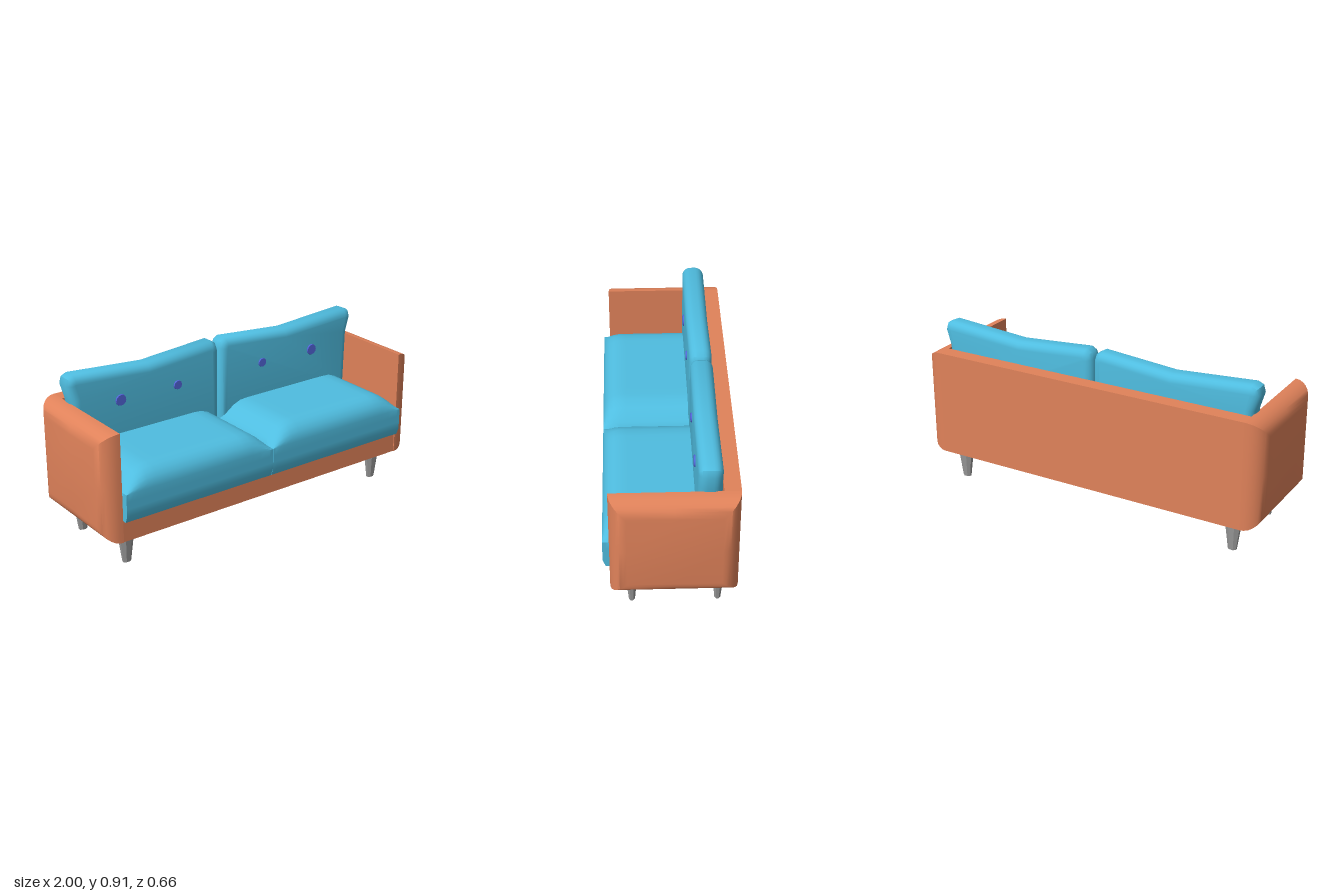
import * as THREE from 'three';
import { toCreasedNormals } from 'three/addons/utils/BufferGeometryUtils.js';

const material = (name, color, flatShading = false) => {
  const m = new THREE.MeshStandardMaterial({ color, flatShading });
  m.name = name;
  return m;
};

// Moves every vertex by a rule, then smooths all but the sharp edges
function deform(geometry, rule, crease = 0.75) {
  const pos = geometry.attributes.position;
  const v = new THREE.Vector3();
  for (let i = 0; i < pos.count; i++) {
    rule(v.fromBufferAttribute(pos, i));
    pos.setXYZ(i, v.x, v.y, v.z);
  }
  return toCreasedNormals(geometry, crease);
}

// Side panel: flat inside, with all outer edges rounded over
function armGeometry(side) {
  const bottom = 0.172, top = 0.755, back = -0.33, front = 0.3;
  return deform(new THREE.BoxGeometry(1, 1, 1, 7, 2, 2), (v) => {
    const a = (v.x * side + 0.5) * Math.PI / 2;
    const inset = 0.085 * (1 - Math.cos(a));
    v.x = side * (0.9 + 0.1 * Math.sin(a));
    v.y = (bottom + top) / 2 + v.y * (top - bottom - 2 * inset);
    v.z = (back + front) / 2 + v.z * (front - back - 2 * inset);
  });
}

// Seat cushion: crowned top that falls to the sides and the front
function seatGeometry(side) {
  const width = 0.896, back = -0.245, front = 0.333;
  return deform(new THREE.BoxGeometry(1, 1, 1, 20, 4, 14), (v) => {
    const u = Math.sin(v.x * Math.PI);
    const w = Math.sin((v.z + 0.5) * Math.PI / 2);
    const h = v.y + 0.5;
    const tx = Math.min((1 - Math.abs(u)) * width / 2 / 0.16, 1);
    const tz = Math.min((1 - w) * (front - back) / 0.1, 1);
    const crown = (1 - (1 - tx) ** 2) * Math.sqrt(1 - (1 - tz) ** 2);
    v.x = side * 0.449 + u * width / 2;
    v.y = 0.288 + h * (0.155 + 0.097 * crown);
    v.z = back + w * (front - back - (h === 0 ? 0.015 : 0));
  });
}

// Back cushion: outline with raised corners and a fully rounded rim
function backCushionGeometry(side) {
  const outline = [
    [0.004, 0.42], [0.004, 0.855], [0.015, 0.89], [0.045, 0.908], [0.45, 0.876],
    [0.885, 0.908], [0.919, 0.893], [0.93, 0.855], [0.905, 0.77], [0.896, 0.42],
  ].map(([x, y]) => new THREE.Vector2(x * side, y));
  const geometry = new THREE.ExtrudeGeometry(new THREE.Shape(outline), {
    depth: 0.03, bevelThickness: 0.044, bevelSize: 0.044, bevelOffset: -0.044, bevelSegments: 5,
  });
  geometry.translate(0, 0, -0.199);
  return toCreasedNormals(geometry, 0.75);
}

export function createModel() {
  const sofa = new THREE.Group();
  sofa.name = 'sofa';

  const upholstery = material('orange upholstery', 0xe0825a);
  const cushion = material('blue cushion', 0x4fbde0);
  const buttonColor = material('violet button', 0x5264d8);
  const metal = material('grey leg', 0x999999, true);

  const add = (name, geometry, mat, x = 0, y = 0, z = 0) => {
    const mesh = new THREE.Mesh(geometry, mat);
    mesh.name = name;
    mesh.position.set(x, y, z);
    sofa.add(mesh);
    return mesh;
  };

  // Frame between the arms
  add('base', new THREE.BoxGeometry(1.8, 0.118, 0.57), upholstery, 0, 0.231, 0.01);
  add('backPanel', new THREE.BoxGeometry(1.8, 0.583, 0.082), upholstery, 0, 0.4635, -0.289);

  // Tapered oval leg
  const leg = new THREE.CylinderGeometry(0.046, 0.023, 0.175, 8);
  leg.rotateY(Math.PI / 8);
  leg.scale(1.05, 1, 0.72);

  for (const [side, label] of [[1, 'left'], [-1, 'right']]) {
    add(label + 'Arm', armGeometry(side), upholstery);
    add(label + 'SeatCushion', seatGeometry(side), cushion);
    add(label + 'BackCushion', backCushionGeometry(side), cushion);

    // Two flat buttons on each back cushion
    for (const [x, radius] of [[0.63, 0.032], [0.28, 0.026]]) {
      const button = new THREE.CylinderGeometry(radius * 0.9, radius, 0.008, 12);
      button.rotateX(Math.PI / 2);
      add(label + 'Button', button, buttonColor, side * x, 0.722, -0.122);
    }

    add(label + 'FrontLeg', leg, metal, side * 0.825, 0.0875, 0.195);
    add(label + 'BackLeg', leg, metal, side * 0.825, 0.0875, -0.237);
  }

  return sofa;
}
